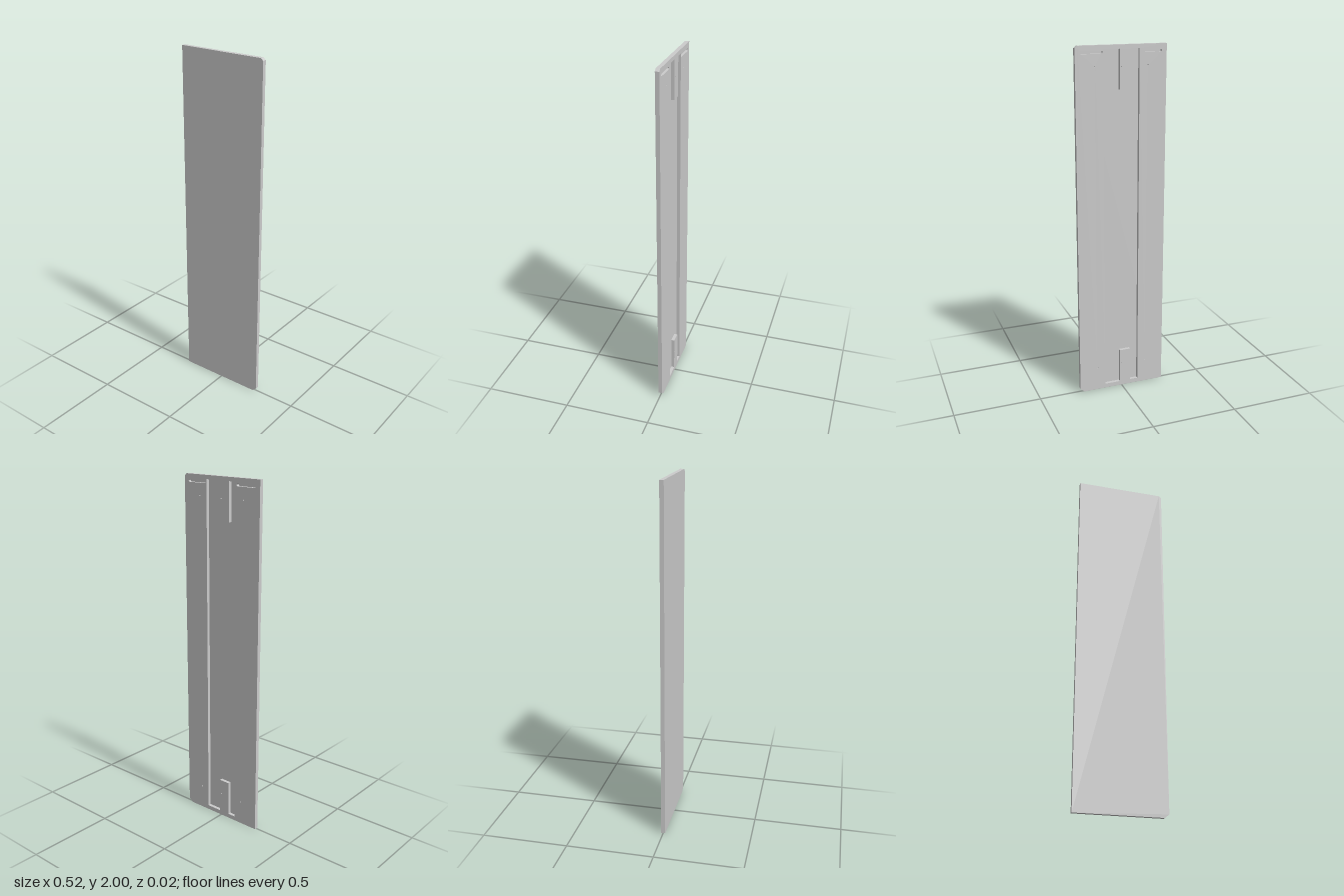
import * as THREE from 'three';

const W = 0.258, H = 2, BACK = -0.0115, FRONT = 0.0115, SKIN = 0.0075;
const mat = new THREE.MeshStandardMaterial({ color: 0xcccccc, flatShading: true });

const poly = (points) => points.map(([x, y]) => new THREE.Vector2(x, y));
const rect = (x0, x1, y0, y1) => new THREE.Path(poly([[x0, y0], [x0, y1], [x1, y1], [x1, y0]]));

function screwHole(x, y) {
  return new THREE.Path().absarc(x, y, 0.003, 0, Math.PI * 2, true);
}

// Slot with rounded ends
function slot(x0, x1, y, r) {
  const p = new THREE.Path();
  p.absarc(x1 - r, y, r, Math.PI / 2, -Math.PI / 2, true);
  p.absarc(x0 + r, y, r, -Math.PI / 2, -Math.PI * 1.5, true);
  p.closePath();
  return p;
}

// Flat plate between two depths
function plate(name, shape, z0, z1) {
  const geo = new THREE.ExtrudeGeometry(shape, { depth: z1 - z0, bevelEnabled: false, curveSegments: 8 });
  geo.translate(0, 0, z0);
  const mesh = new THREE.Mesh(geo, mat);
  mesh.name = name;
  return mesh;
}

// Panel outline with both corners of one side chamfered
const outline = () => new THREE.Shape(poly([
  [-W, 0], [W - 0.025, 0], [W, 0.02], [W, H - 0.012], [W - 0.014, H], [-W, H],
]));

export function createModel() {
  const panel = new THREE.Group();
  panel.name = 'panel';

  // Smooth front skin
  panel.add(plate('frontSkin', outline(), SKIN, FRONT));

  // Back frame: rim and two side strips around the central channel
  const frame = outline();
  frame.holes.push(rect(-0.102, 0.102, 0.025, H - 0.022));
  for (const s of [-1, 1]) {
    const [a, b] = s > 0 ? [0.105, 0.23] : [-0.23, -0.105];
    frame.holes.push(slot(a, b, 1.963, 0.007));
    for (const y of [0.14, 1.89]) frame.holes.push(screwHole(s * 0.15, y));
  }
  panel.add(plate('backFrame', frame, BACK, SKIN));

  // Mounting blocks at both ends of the channel
  for (const [name, y0, y1] of [['lowerBlock', 0.025, 0.23], ['upperBlock', 1.765, H - 0.022]]) {
    const block = new THREE.Shape(poly([[-0.055, y0], [0.01, y0], [0.01, y1], [-0.055, y1]]));
    block.holes.push(screwHole(0, (y0 + y1) / 2 + 0.015));
    panel.add(plate(name, block, BACK, SKIN));
  }
  return panel;
}
